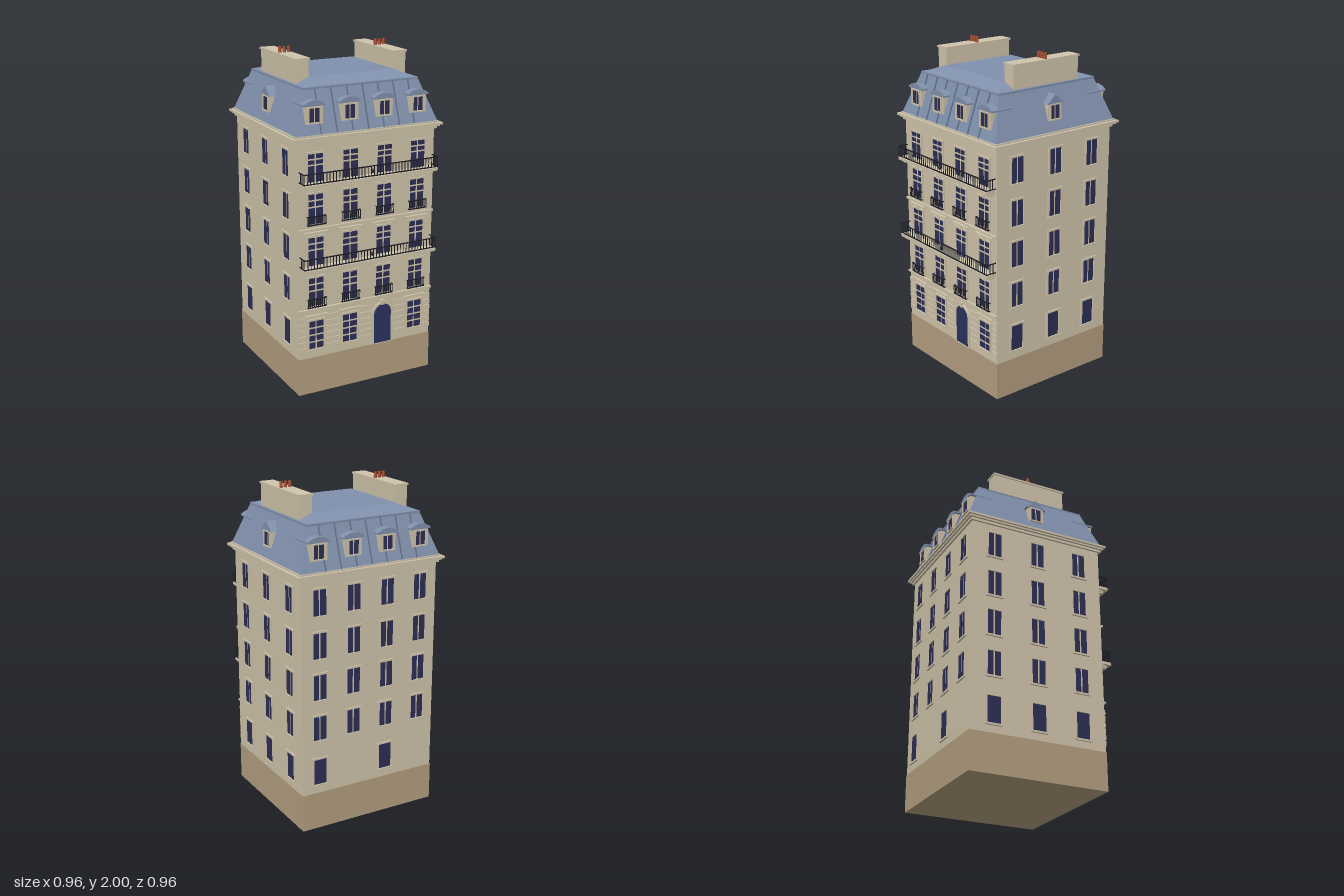
import * as THREE from 'three';

const mat = (color, side = THREE.FrontSide) => new THREE.MeshStandardMaterial({ color, flatShading: true, side });
const STONE = mat(0xd0c4ab), BASE = mat(0xb49f80), SLATE = mat(0x8090ac), SEAM = mat(0x66738c);
const GLASS = mat(0x2c2e54), DOOR = mat(0x2a3060), IRON = mat(0x1d1d26), CLAY = mat(0xa84f35);

const HX = 0.445, HZ = 0.425;                  // half size of the walls
const COLS = [-0.333, -0.111, 0.111, 0.333];   // window columns, front and back

function add(parent, name, geo, material, x = 0, y = 0, z = 0) {
  const m = new THREE.Mesh(geo, material);
  m.name = name;
  m.position.set(x, y, z);
  parent.add(m);
  return m;
}
// Box given by its ranges on each axis
function box(parent, name, material, x0, x1, y0, y1, z0, z1) {
  return add(parent, name, new THREE.BoxGeometry(x1 - x0, y1 - y0, z1 - z0), material,
    (x0 + x1) / 2, (y0 + y1) / 2, (z0 + z1) / 2);
}
function group(parent, name) {
  const g = new THREE.Group();
  g.name = name;
  parent.add(g);
  return g;
}

// Stack of rectangles [halfX, halfZ, y] joined by sloped sides and closed on top
function hipGeometry(rings) {
  const pos = [];
  const corner = ([x, z, y], i) => [[-x, y, z], [x, y, z], [x, y, -z], [-x, y, -z]][i % 4];
  const quad = (a, b, c, d) => pos.push(...a, ...b, ...c, ...a, ...c, ...d);
  for (let r = 0; r < rings.length - 1; r++)
    for (let i = 0; i < 4; i++)
      quad(corner(rings[r], i), corner(rings[r], i + 1), corner(rings[r + 1], i + 1), corner(rings[r + 1], i));
  const top = rings[rings.length - 1];
  quad(corner(top, 0), corner(top, 1), corner(top, 2), corner(top, 3));
  const g = new THREE.BufferGeometry();
  g.setAttribute('position', new THREE.Float32BufferAttribute(pos, 3));
  g.computeVertexNormals();
  return g;
}

// Window on a wall whose surface is local z = 0
function addWindow(parent, x, y0, y1, w, { panes = 2, bars = [], gap = 0.01, border = 0.012 } = {}) {
  const g = group(parent, 'window');
  g.position.x = x;
  const h = w / 2, out = 0.008;
  const pw = (w - gap * (panes - 1)) / panes;
  for (let i = 0; i < panes; i++) {
    const a = -h + i * (pw + gap);
    box(g, 'glass', GLASS, a, a + pw, y0, y1, -0.005, 0.002);
  }
  for (const s of [-1, 1]) {
    const c = s * (h + border / 2);
    box(g, 'frameSide', STONE, c - border / 2, c + border / 2, y0, y1, -0.005, out);
  }
  box(g, 'frameTop', STONE, -h - border, h + border, y1, y1 + border, -0.005, out);
  box(g, 'sill', STONE, -h - border, h + border, y0 - border, y0, -0.005, out + 0.002);
  for (const y of bars) box(g, 'glazingBar', STONE, -h, h, y - 0.004, y + 0.004, -0.005, 0.005);
  return g;
}

// Iron railing with thin balusters and short returns to the wall
function addRailing(parent, x, y0, y1, w, z, step) {
  const g = group(parent, 'railing');
  g.position.x = x;
  const h = w / 2, t = 0.002, n = Math.round(w / step);
  for (const y of [y0 + 0.004, y1 - 0.003]) {
    box(g, 'rail', IRON, -h, h, y - 0.003, y + 0.003, z - 0.005, z);
    for (const s of [-h, h]) box(g, 'returnRail', IRON, s - t, s + t, y - 0.003, y + 0.003, 0, z);
  }
  for (let i = 0; i <= n; i++) {
    const c = -h + (w * i) / n;
    box(g, 'baluster', IRON, c - t, c + t, y0, y1, z - 0.004, z - 0.001);
  }
  for (let d = step; d < z - 0.01; d += step)
    for (const s of [-h, h]) box(g, 'baluster', IRON, s - t, s + t, y0, y1, d - t, d + t);
}

// Full-width balcony: slab, brackets, railing and centre boss
function addBalcony(parent, y) {
  const g = group(parent, 'balcony');
  box(g, 'slab', STONE, -0.435, 0.435, y - 0.018, y, 0, 0.068);
  box(g, 'slabMoulding', STONE, -0.425, 0.425, y - 0.028, y - 0.018, 0, 0.03);
  for (const x of COLS) for (const s of [-0.075, 0.075])
    box(g, 'bracket', STONE, x + s - 0.01, x + s + 0.01, y - 0.036, y - 0.018, 0, 0.045);
  addRailing(g, 0, y + 0.003, y + 0.068, 0.868, 0.067, 0.02);
  add(g, 'boss', new THREE.SphereGeometry(0.012, 10, 6), IRON, 0, y + 0.037, 0.066);
}

// Dormer with window and an arched or gabled roof; z is the plane of its face
function addDormer(parent, x, z, arched) {
  const g = group(parent, 'dormer');
  g.position.set(x, 0, z);
  const w = arched ? 0.055 : 0.05;
  box(g, 'dormerBody', STONE, -w, w, 1.615, 1.735, -0.12, 0);
  addWindow(g, 0, 1.64, 1.72, 0.064, { border: 0.008, gap: 0.008 });
  const s = new THREE.Shape();
  if (arched) {
    s.moveTo(-0.0675, 1.73).lineTo(0.0675, 1.73).lineTo(0.0675, 1.74);
    s.quadraticCurveTo(0, 1.788, -0.0675, 1.74);
  } else s.moveTo(-0.062, 1.727).lineTo(0.062, 1.727).lineTo(0, 1.782);
  s.closePath();
  const roof = new THREE.ExtrudeGeometry(s, { depth: 0.145, bevelEnabled: false, curveSegments: 10 });
  add(g, 'dormerRoof', roof, SLATE, 0, 0, -0.14);
}

function addFront(f) {
  // Ground floor: windows, banded stonework and arched door
  for (const x of [COLS[0], COLS[1], COLS[3]]) {
    addWindow(f, x, 0.286, 0.462, 0.096, { gap: 0.008, bars: [0.33, 0.374, 0.418] });
    box(f, 'windowHead', STONE, x - 0.075, x + 0.075, 0.49, 0.5, 0, 0.012);
  }
  const piers = [[-0.445, -0.4], [-0.266, -0.178], [-0.044, 0.034], [0.188, 0.266], [0.4, 0.445]];
  for (const [a, b] of piers)
    for (let y = 0.268; y < 0.48; y += 0.038) box(f, 'stoneBand', STONE, a, b, y, y + 0.031, 0, 0.006);
  const arch = (r, top) => {
    const s = new THREE.Shape();
    s.moveTo(-r, 0.23).lineTo(r, 0.23).lineTo(r, top);
    s.absarc(0, top, r, 0, Math.PI, false);
    return s.closePath();
  };
  const surround = arch(0.074, 0.422);
  surround.holes.push(arch(0.06, 0.422));
  const extrude = (s, depth) => new THREE.ExtrudeGeometry(s, { depth, bevelEnabled: false, curveSegments: 12 });
  add(f, 'doorSurround', extrude(surround, 0.01), STONE, COLS[2]);
  add(f, 'door', extrude(arch(0.06, 0.422), 0.003), DOOR, COLS[2]);
  box(f, 'doorKeystone', STONE, COLS[2] - 0.01, COLS[2] + 0.01, 0.478, 0.51, 0, 0.014);

  // Upper floors
  const floors = [[0.555, 0.73, 0.65], [0.805, 0.975, 0.9], [1.055, 1.232, 1.155], [1.302, 1.465, 1.4]];
  floors.forEach(([y0, y1, bar], i) => {
    for (const x of COLS) {
      addWindow(f, x, y0, y1, 0.096, { bars: [bar, (bar + y1) / 2] });
      if (i < 3) {
        box(f, 'lintel', STONE, x - 0.075, x + 0.075, y1 + 0.022, y1 + 0.034, 0, 0.016);
        box(f, 'keystone', STONE, x - 0.01, x + 0.01, y1, y1 + 0.024, 0, 0.013);
      }
      if (i % 2 === 0) addRailing(f, x, y0 - 0.005, y0 + 0.052, 0.115, 0.022, 0.0125);
    }
  });
  for (const y of [0.527, 1.018]) {
    box(f, 'stringCourse', STONE, -0.447, 0.447, y, y + 0.013, 0, 0.014);
  }
  addBalcony(f, 0.802);
  addBalcony(f, 1.302);
}

export function createModel() {
  const root = new THREE.Group();
  root.name = 'townhouse';
  const b = group(root, 'building');
  b.position.z = -0.015;

  // Base, walls and stepped cornice
  box(b, 'base', BASE, -0.448, 0.448, 0, 0.23, -0.428, 0.428);
  box(b, 'walls', STONE, -HX, HX, 0.23, 1.54, -HZ, HZ);
  for (const [o, y0, y1] of [[0.012, 1.525, 1.54], [0.025, 1.54, 1.55], [0.037, 1.55, 1.563], [0.02, 1.563, 1.572]])
    box(b, 'cornice', STONE, -HX - o, HX + o, y0, y1, -HZ - o, HZ + o);

  // Mansard roof with a low hipped top
  add(b, 'mansardRoof', hipGeometry([[0.457, 0.439, 1.57], [0.37, 0.352, 1.815]]), SLATE);
  box(b, 'roofCurb', SLATE, -0.372, 0.372, 1.81, 1.822, -0.354, 0.354);
  add(b, 'roofTop', hipGeometry([[0.357, 0.338, 1.822], [0.27, 0.248, 1.86]]), SLATE);

  // Four sides, each with local z = 0 on its wall
  const sides = ['front', 'leftSide', 'back', 'rightSide'].map((name, i) => {
    const g = group(group(b, name), name + 'Wall');
    g.parent.rotation.y = (i * Math.PI) / 2;
    g.position.z = i % 2 ? HX : HZ;
    return g;
  });
  const [front, left, back, right] = sides;
  addFront(front);
  const rows = [[0.566, 0.714], [0.815, 0.968], [1.064, 1.217], [1.318, 1.47]];
  for (const s of [left, right])
    for (const x of [-0.28, 0, 0.28]) {
      addWindow(s, x, 0.286, 0.444, 0.085, { panes: 1 });
      for (const [y0, y1] of rows) addWindow(s, x, y0, y1, 0.085);
    }
  for (const x of COLS) for (const [y0, y1] of rows) addWindow(back, x, y0, y1, 0.085);
  for (const x of [COLS[0], COLS[2]]) addWindow(back, x, 0.286, 0.444, 0.085, { panes: 1 });

  // Dormers and standing seams
  for (const s of [front, back]) {
    for (const x of COLS) addDormer(s, x, -0.007, true);
    for (let i = -3; i <= 3; i++) {
      const seam = add(s, 'roofSeam', new THREE.BoxGeometry(0.006, 0.258, 0.012), SEAM, i * 0.1, 1.693, -0.0295);
      seam.rotation.x = -Math.atan2(0.087, 0.245);
    }
  }
  for (const s of [left, right]) addDormer(s, 0, -0.01, false);

  // Chimney stacks with clay pots
  for (const s of [-1, 1]) {
    const c = group(b, 'chimney');
    c.position.x = s * 0.315;
    box(c, 'stack', STONE, -0.04, 0.04, 1.8, 1.953, -0.24, 0.235);
    box(c, 'stackCap', STONE, -0.046, 0.046, 1.953, 1.965, -0.246, 0.241);
    for (const x of [-0.028, 0, 0.028])
      add(c, 'chimneyPot', new THREE.CylinderGeometry(0.009, 0.01, 0.036, 6), CLAY, x, 1.982, -0.002);
  }
  return root;
}
